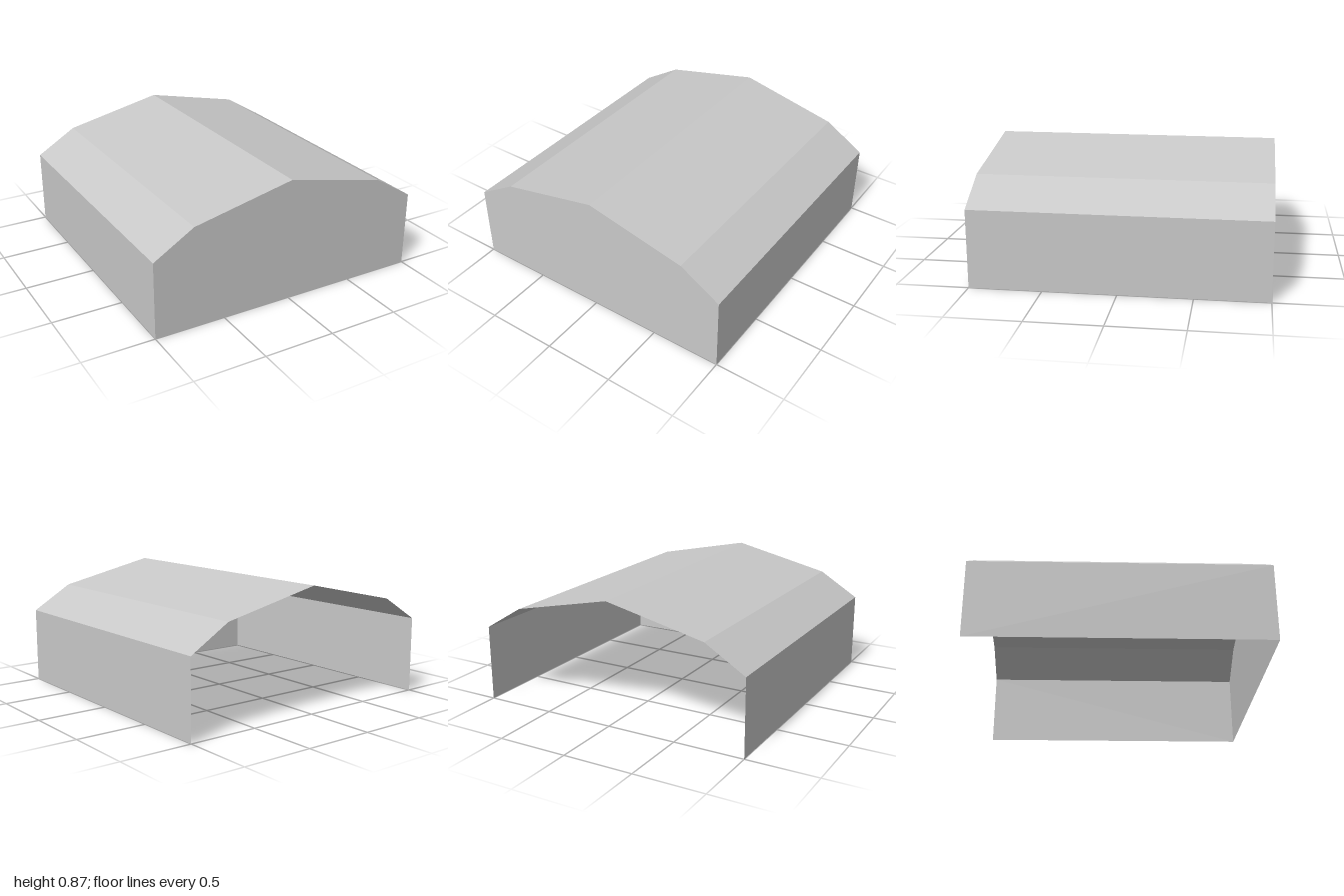
import * as THREE from 'three';

export function createModel() {
  const group = new THREE.Group();
  const grey = new THREE.MeshStandardMaterial({ color: 0xc8c8c8, side: THREE.DoubleSide, flatShading: true });
  grey.name = 'plain grey';

  // Cross-section from the left foot over the ridge to the right foot
  const half = [[1, 0], [1, 0.54], [0.715, 0.713], [0, 0.87]];
  const profile = [...half, ...half.slice(0, 3).reverse().map(([x, y]) => [-x, y])];

  const add = (name, geometry) => {
    const mesh = new THREE.Mesh(geometry, grey);
    mesh.name = name;
    group.add(mesh);
  };

  // Sheet swept from front to back along part of the profile, facing outward
  const sheet = (points) => {
    const pos = [];
    for (let i = 0; i < points.length - 1; i++) {
      const [ax, ay] = points[i], [bx, by] = points[i + 1];
      pos.push(ax, ay, 1, ax, ay, -1, bx, by, -1);
      pos.push(ax, ay, 1, bx, by, -1, bx, by, 1);
    }
    const geometry = new THREE.BufferGeometry();
    geometry.setAttribute('position', new THREE.Float32BufferAttribute(pos, 3));
    geometry.computeVertexNormals();
    return geometry;
  };

  // Side walls and four-panel roof; the underside and back stay open
  add('leftWall', sheet(profile.slice(0, 2)));
  add('roof', sheet(profile.slice(1, 6)));
  add('rightWall', sheet(profile.slice(5)));

  // Front gable closes the shell at +z
  const gable = new THREE.Shape(profile.map(([x, y]) => new THREE.Vector2(x, y)));
  add('frontGable', new THREE.ShapeGeometry(gable).translate(0, 0, 1));

  return group;
}
